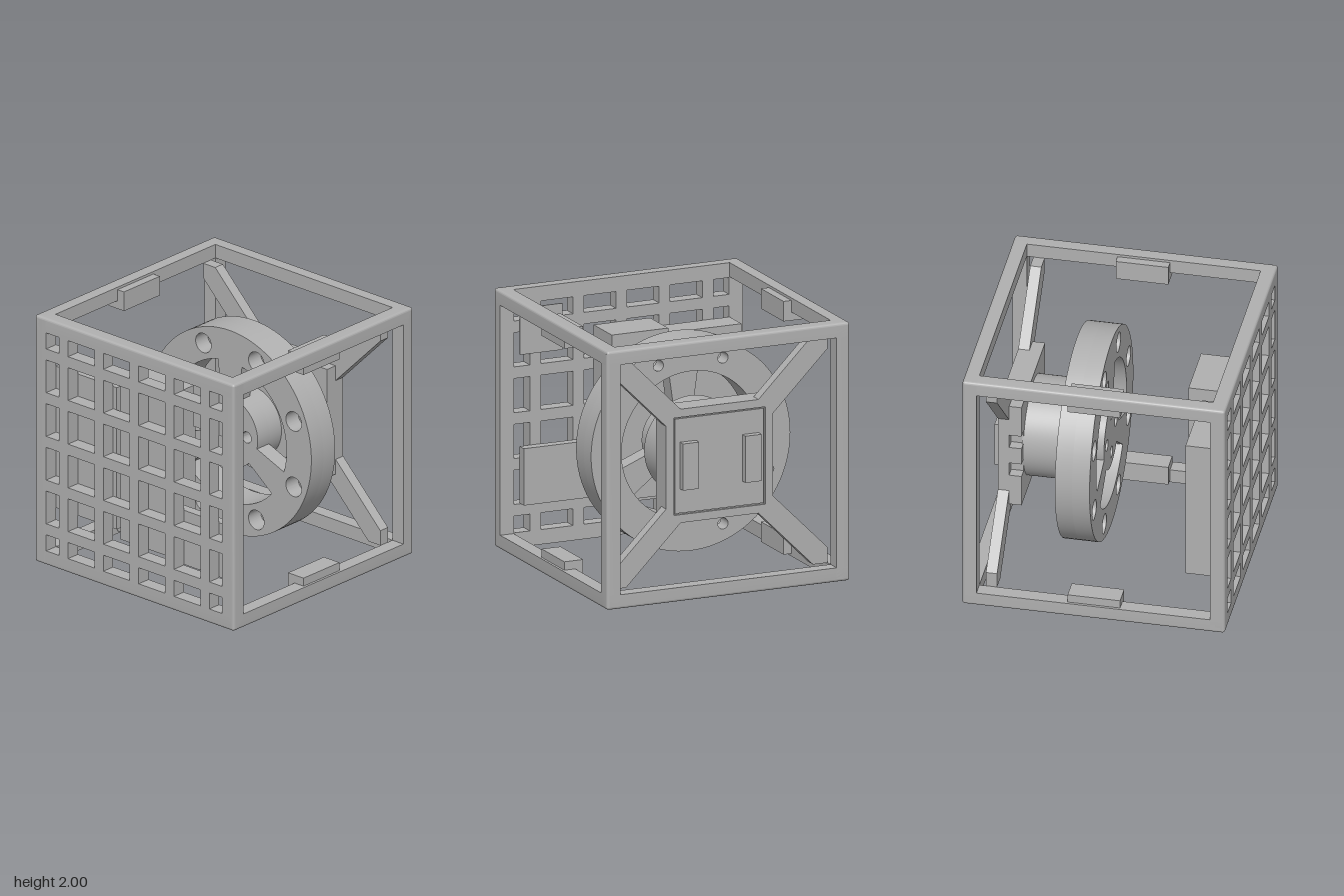
import * as THREE from 'three';
import { toCreasedNormals } from 'three/addons/utils/BufferGeometryUtils.js';

export function createModel() {
  const model = new THREE.Group();
  const grey = new THREE.MeshStandardMaterial({ color: 0xb0b0b0 });
  grey.name = 'satin grey';

  // Everything is laid out around the cube centre, which sits at y = 1
  const body = new THREE.Group();
  body.name = 'body';
  body.position.y = 1;
  model.add(body);

  function add(name, geometry, parent = body) {
    const mesh = new THREE.Mesh(geometry, grey);
    mesh.name = name;
    parent.add(mesh);
    return mesh;
  }
  // Box given by its limits on each axis
  function box(name, x0, x1, y0, y1, z0, z1) {
    const mesh = add(name, new THREE.BoxGeometry(x1 - x0, y1 - y0, z1 - z0));
    mesh.position.set((x0 + x1) / 2, (y0 + y1) / 2, (z0 + z1) / 2);
    return mesh;
  }
  // Shape drawn in (-z, y), extruded along x
  function plate(name, shape, x0, x1) {
    const g = new THREE.ExtrudeGeometry(shape, { depth: x1 - x0, bevelEnabled: false, curveSegments: 48 });
    g.rotateY(Math.PI / 2);
    g.translate(x0, 0, 0);
    return add(name, toCreasedNormals(g, 0.5));
  }
  const polygon = (pts) => new THREE.Shape(pts.map(([a, b]) => new THREE.Vector2(a, b)));
  const rect = (a0, a1, b0, b1) => polygon([[a0, b0], [a1, b0], [a1, b1], [a0, b1]]);
  function disc(r, cx = 0, cy = 0) {
    const s = new THREE.Shape();
    s.absarc(cx, cy, r, 0, Math.PI * 2, false);
    return s;
  }
  // Evenly spaced round holes on a pitch circle
  function drill(shape, count, pitch, r, start) {
    for (let i = 0; i < count; i++) {
      const t = start + (i / count) * Math.PI * 2;
      shape.holes.push(disc(r, pitch * Math.cos(t), pitch * Math.sin(t)));
    }
    return shape;
  }

  // Cube frame: bars with a rounded outer edge, and ball corners
  const inner = 0.89, rad = 0.02, end = 1 - rad;
  const profile = new THREE.Shape();
  profile.moveTo(inner, inner);
  profile.lineTo(1, inner);
  profile.lineTo(1, end);
  profile.absarc(end, end, rad, 0, Math.PI / 2, false);
  profile.lineTo(inner, 1);
  profile.closePath();
  const bar = new THREE.ExtrudeGeometry(profile, { depth: 2 * end, bevelEnabled: false, curveSegments: 5 });
  bar.translate(0, 0, -end);
  const barGeometry = toCreasedNormals(bar, 0.5);
  const frame = new THREE.Group();
  frame.name = 'frame';
  body.add(frame);
  for (const [rx, ry] of [[0, 0], [Math.PI / 2, 0], [0, Math.PI / 2]]) {
    const set = new THREE.Group();
    set.name = 'frameBars';
    set.rotation.set(rx, ry, 0);
    frame.add(set);
    for (let i = 0; i < 4; i++) add('frameBar', barGeometry, set).rotation.z = (i * Math.PI) / 2;
  }
  const ball = new THREE.SphereGeometry(rad, 16, 12);
  for (const x of [-end, end]) for (const y of [-end, end]) for (const z of [-end, end]) {
    add('frameCorner', ball, frame).position.set(x, y, z);
  }

  // Thickened tabs in the middle of the four lengthwise bars
  for (const sy of [-1, 1]) for (const sz of [-1, 1]) {
    const tab = box('frameTab', -0.2, 0.2, 0.825, 0.98, 0.825, 0.98);
    tab.position.y *= sy;
    tab.position.z *= sz;
  }

  // Lattice panel closing the right side
  const lattice = rect(-inner, inner, -inner, inner);
  const bars = [-0.71, -0.355, 0, 0.355, 0.71];
  const gaps = [];
  for (let i = 0; i <= bars.length; i++) {
    gaps.push([i ? bars[i - 1] + 0.045 : -0.885, i < bars.length ? bars[i] - 0.045 : 0.885]);
  }
  for (const [a0, a1] of gaps) for (const [b0, b1] of gaps) lattice.holes.push(rect(a0, a1, b0, b1));
  plate('latticePanel', lattice, -1, -inner);

  // Equipment boxes standing on the lattice
  box('largeModule', -inner, -0.57, -0.64, 0.65, -0.235, 0.23);
  box('tallModule', -inner, -0.68, -0.57, 0.58, -0.89, -0.275);
  box('lowModule', -inner, -0.815, -0.66, -0.22, 0.265, 0.84);
  box('thinBoard', -inner, -0.88, 0.49, 0.85, 0.49, 0.84);

  // Wheel rim with eight counterbored bolt holes
  const rim = (holeRadius) => {
    const s = disc(0.82);
    s.holes.push(disc(0.57));
    return drill(s, 8, 0.695, holeRadius, Math.PI / 8);
  };
  plate('wheelRimBack', rim(0.078), 0.065, 0.2);
  plate('wheelRimFront', rim(0.042), 0.2, 0.33);

  // Three spokes that widen towards the rim
  for (let i = 0; i < 3; i++) {
    const spoke = polygon([[-0.08, 0.265], [0.08, 0.265], [0.125, 0.58], [-0.125, 0.58]]);
    plate('wheelSpoke', spoke, 0.065, 0.2).rotation.x = (i * Math.PI * 2) / 3;
  }

  // Hub with four bolt holes
  plate('wheelHubFace', drill(disc(0.28), 4, 0.17, 0.045, 0), 0.065, 0.2);
  plate('wheelHub', disc(0.28), 0.2, 0.34);

  // Motor
  plate('motor', disc(0.383), 0.33, 0.67);

  // Motor mount, its rear layer notched on one edge
  const h = 0.44;
  const notched = polygon([
    [-h, -h], [h, -h], [h, -0.18], [0.36, -0.18], [0.36, -0.07], [h, -0.07],
    [h, 0.07], [0.36, 0.07], [0.36, 0.18], [h, 0.18], [h, h], [-h, h],
  ]);
  plate('mountBack', notched, 0.66, 0.755);
  plate('mountPlate', rect(-h, h, -h, h), 0.755, 0.82);
  const rimFrame = rect(-h, h, -h, h);
  rimFrame.holes.push(rect(-0.377, 0.377, -0.377, 0.377));
  plate('mountRim', rimFrame, 0.82, 0.84);

  // Circuit board with two connectors
  box('controlBoard', 0.815, 0.835, -0.366, 0.366, -0.366, 0.366);
  for (const z of [-0.257, 0.257]) box('connector', 0.83, 0.89, -0.178, 0.183, z - 0.066, z + 0.066);

  // Diagonal arms from the mount to the frame corners
  const arm = polygon([[0.32, 0.44], [0.44, 0.32], [inner, 0.77], [inner, inner], [0.77, inner]]);
  for (let i = 0; i < 4; i++) plate('mountArm', arm, 0.755, 0.84).rotation.x = (i * Math.PI) / 2;

  return model;
}
